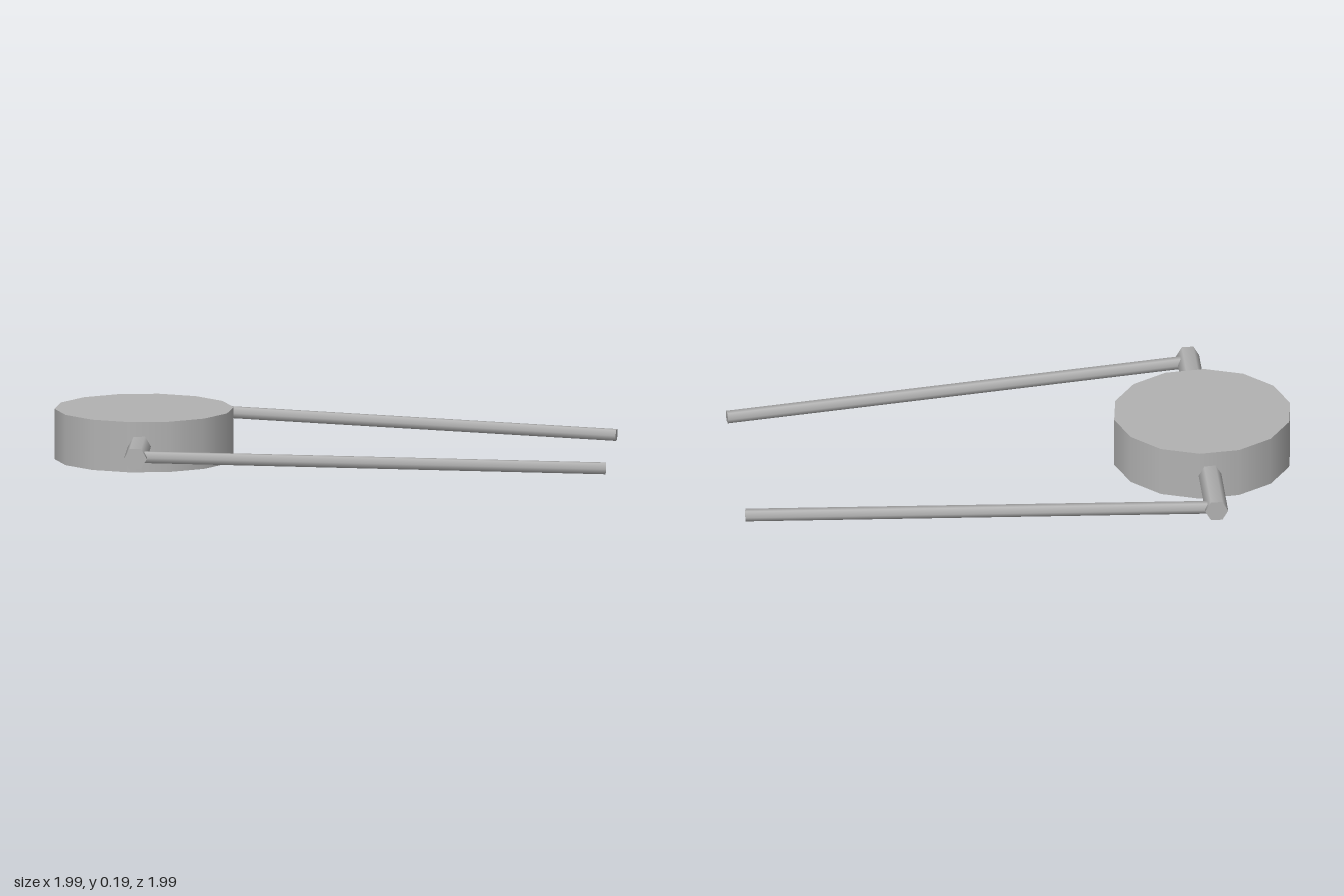
import * as THREE from 'three';

export function createModel() {
  const model = new THREE.Group();
  const grey = new THREE.MeshStandardMaterial({ color: 0xb2b2b2 });
  grey.name = 'plainGrey';

  // Six-sided bar between two points, with flats on top and bottom
  function bar(name, from, to, radius) {
    const a = new THREE.Vector3(...from);
    const b = new THREE.Vector3(...to);
    const geometry = new THREE.CylinderGeometry(radius, radius, a.distanceTo(b), 6);
    geometry.rotateY(Math.PI / 2).rotateX(Math.PI / 2);
    const mesh = new THREE.Mesh(geometry, grey);
    mesh.name = name;
    mesh.position.copy(a).add(b).multiplyScalar(0.5);
    mesh.lookAt(b);
    model.add(mesh);
  }

  // Fourteen-sided wheel lying flat
  const wheelGeometry = new THREE.CylinderGeometry(0.335, 0.335, 0.19, 14);
  wheelGeometry.rotateY(Math.PI / 2);
  const wheel = new THREE.Mesh(wheelGeometry, grey);
  wheel.name = 'wheel';
  wheel.position.set(-0.532, 0.095, 0.528);
  model.add(wheel);

  // Axle through the wheel
  bar('axle', [-0.969, 0.097, 0.093], [-0.095, 0.097, 0.963], 0.043);

  // Two long handles, splayed slightly and sloping down
  bar('backHandle', [-0.947, 0.097, 0.116], [0.425, 0.04, -0.981], 0.0238);
  bar('frontHandle', [-0.125, 0.097, 0.925], [0.976, 0.04, -0.433], 0.0238);

  return model;
}
